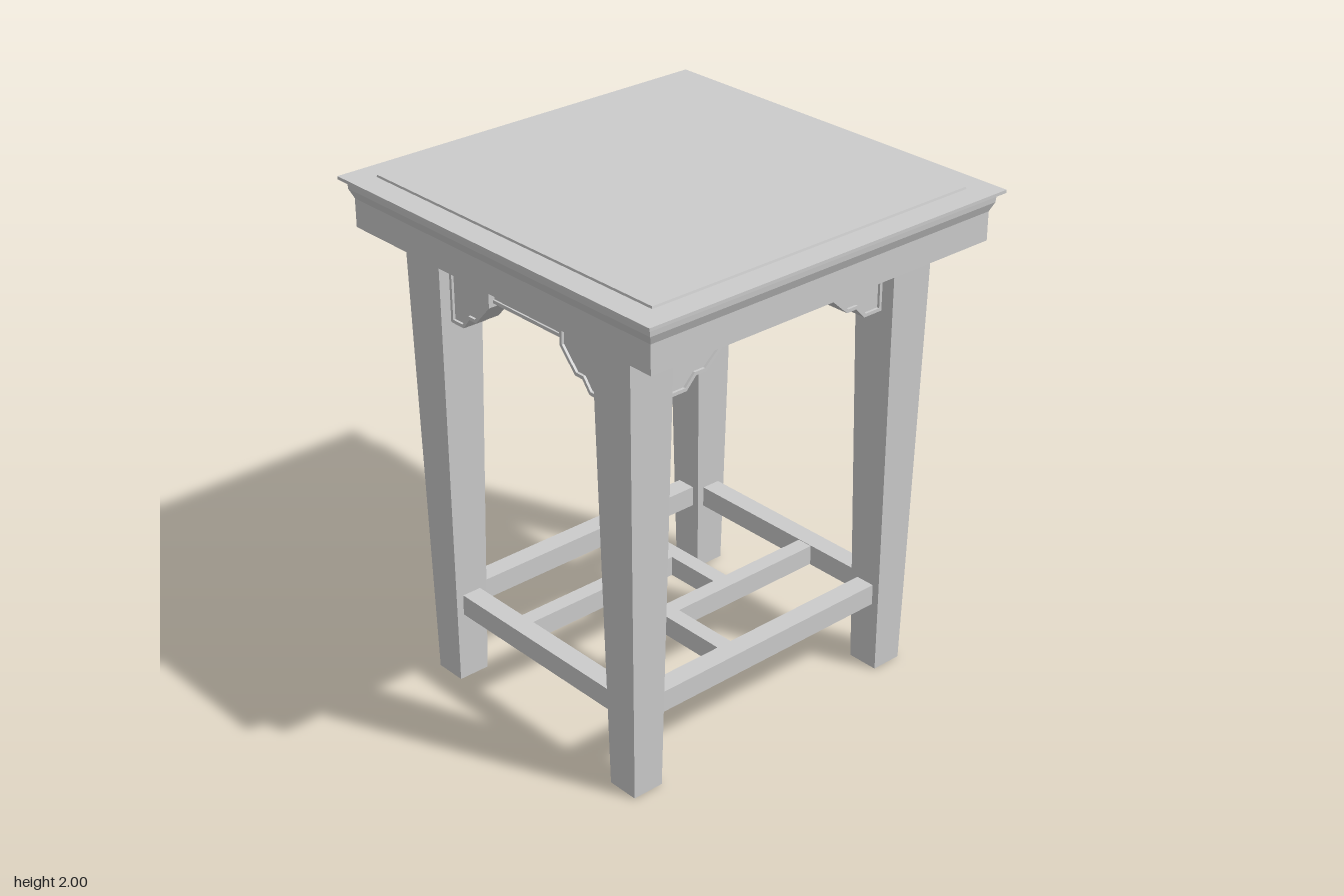
import * as THREE from 'three';

const mat = new THREE.MeshStandardMaterial({ color: 0xcccccc, flatShading: true });

function add(parent, name, geometry, x = 0, y = 0, z = 0) {
  const mesh = new THREE.Mesh(geometry, mat);
  mesh.name = name;
  mesh.position.set(x, y, z);
  parent.add(mesh);
  return mesh;
}

function box(parent, name, w, h, d, x, y, z) {
  return add(parent, name, new THREE.BoxGeometry(w, h, d), x, y, z);
}

const toPath = (points, Type) => new Type(points.map(([x, y]) => new THREE.Vector2(x, y)));

// Square leg, tapering towards the foot
function legGeometry() {
  const g = new THREE.BoxGeometry(0.19, 1.8, 0.19);
  const p = g.attributes.position;
  for (let i = 0; i < p.count; i++) {
    if (p.getY(i) < 0) p.setXYZ(i, p.getX(i) * 0.68, p.getY(i), p.getZ(i) * 0.68);
  }
  return g;
}

// Stepped corner bracket with a raised border; u runs from the bar (0) to the leg (w)
function bracket(w) {
  const group = new THREE.Group();
  group.name = 'cornerBracket';
  const outer = [[0, 0], [0, -0.115], [w * 0.35, -0.2], [w * 0.52, -0.2], [w * 0.68, -0.245], [w, -0.245], [w, 0]];
  const inner = [[0.012, -0.055], [0.012, -0.11], [w * 0.35 + 0.006, -0.187], [w * 0.52 + 0.006, -0.187],
    [w * 0.68 + 0.006, -0.232], [w - 0.012, -0.232], [w - 0.012, -0.055]];
  const border = toPath(outer, THREE.Shape);
  border.holes.push(toPath(inner, THREE.Path));
  add(group, 'bracketBorder', new THREE.ExtrudeGeometry(border, { depth: 0.1, bevelEnabled: false }), 0, 0, -0.05);
  add(group, 'bracketPanel', new THREE.ExtrudeGeometry(toPath(inner, THREE.Shape), { depth: 0.08, bevelEnabled: false }), 0, 0, -0.04);
  return group;
}

// Brackets and the moulded bar that links them, along x
function bracketRail(inner, outer, top) {
  const rail = new THREE.Group();
  rail.name = 'bracketRail';
  const w = outer - inner;
  // half-turn about y gives the opposite bracket
  for (const turn of [0, Math.PI]) {
    const b = bracket(w);
    b.position.x = turn ? -inner : inner;
    b.rotation.y = turn;
    rail.add(b);
  }
  box(rail, 'linkBar', inner * 2, 0.036, 0.05, 0, top - 0.07, 0);
  for (const s of [-1, 1]) box(rail, 'linkBarEdge', inner * 2, 0.013, 0.064, 0, top - 0.07 + s * 0.024, 0);
  return rail;
}

export function createModel() {
  const model = new THREE.Group();
  model.name = 'sideTable';

  // Square top: apron, cove moulding, rim and slightly raised centre panel
  const profile = [[0, 1.8], [0.785, 1.8], [0.785, 1.91], [0.8, 1.945], [0.802, 1.972], [0.825, 1.98],
    [0.825, 1.992], [0.727, 1.992], [0.725, 2], [0, 2]];
  const top = new THREE.LatheGeometry(profile.map(([r, y]) => new THREE.Vector2(r * Math.SQRT2, y)), 4, Math.PI / 4);
  add(model, 'tableTop', top);

  // Legs
  const lx = 0.505, lz = 0.615;
  const leg = legGeometry();
  for (const sx of [-1, 1]) for (const sz of [-1, 1]) add(model, 'leg', leg, sx * lx, 0.9, sz * lz);

  // Bracket rails on all four sides
  for (const s of [-1, 1]) {
    const front = bracketRail(0.19, 0.412, 1.767);
    front.position.set(0, 1.767, s * lz);
    const side = bracketRail(0.24, 0.51, 1.78);
    side.position.set(s * lx, 1.78, 0);
    side.rotation.y = Math.PI / 2;
    for (const rail of [front, side]) {
      // link bars share the rail's local origin at the bracket tops
      rail.children.filter(c => c.isMesh).forEach(c => { c.position.y -= rail.position.y; });
      model.add(rail);
    }
  }

  // Low stretchers between the legs
  const y = 0.328, h = 0.085, t = 0.08;
  for (const s of [-1, 1]) {
    box(model, 'stretcher', 0.9, h, t, 0, y, s * lz);
    box(model, 'sideStretcher', t, h, 1.12, s * lx, y, 0);
  }

  // Pinwheel lattice inside the stretchers
  const c = 0.15, b = 0.065;
  for (const s of [-1, 1]) {
    const lenX = lx + c, lenZ = lz + c + b / 2;
    box(model, 'latticeBar', lenX, h - 0.004, b, s * (lx - lenX / 2), y, s * c);
    box(model, 'latticeCrossBar', b, h - 0.004, lenZ, -s * c, y, s * (lz - lenZ / 2));
  }
  return model;
}
